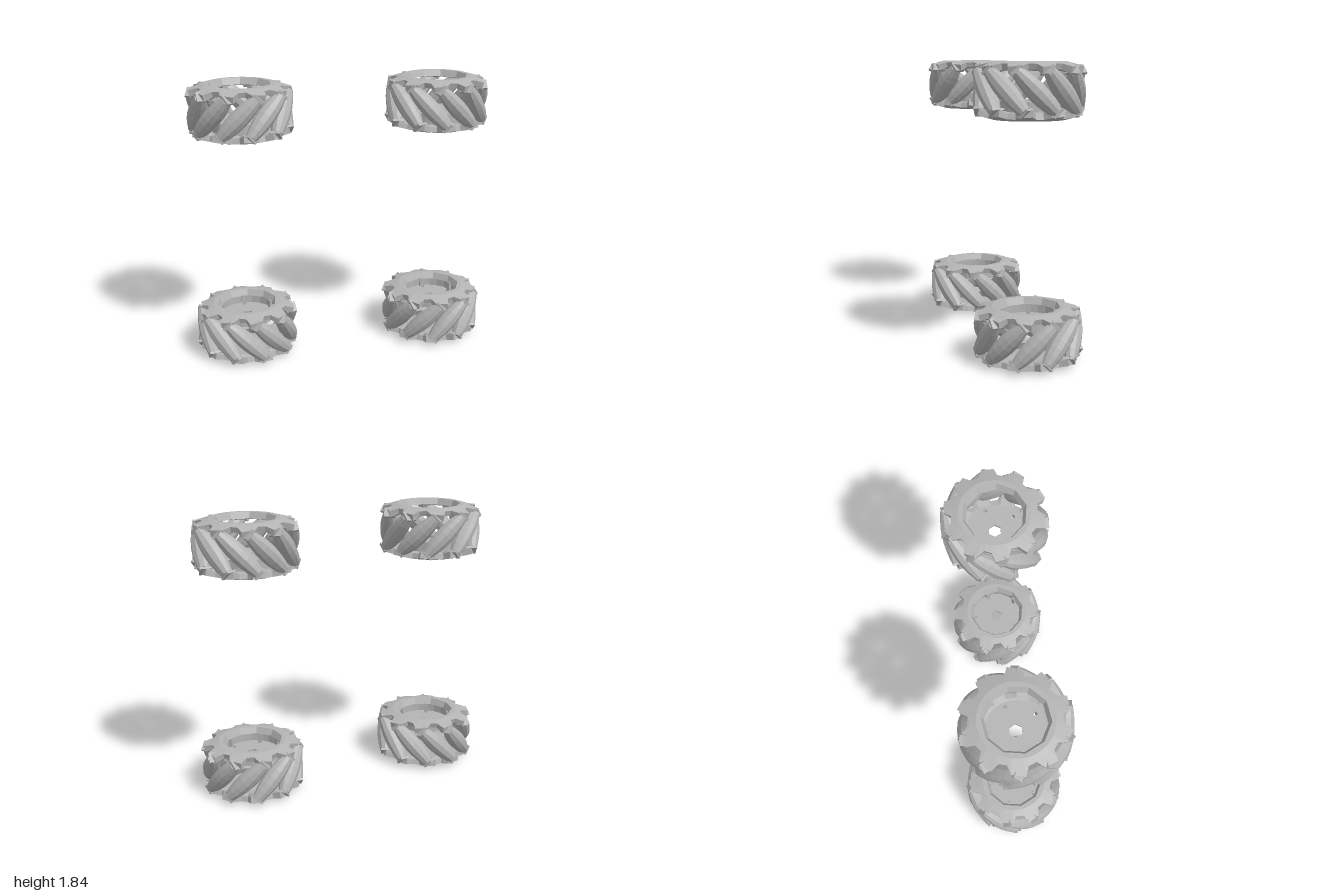
import * as THREE from 'three';

const grey = new THREE.MeshStandardMaterial({ color: 0xb4b4b4, flatShading: true, side: THREE.DoubleSide });
grey.name = 'light grey';

const COUNT = 10, STEP = 36, TILT = Math.PI / 4;
const R = 0.34, AXIS = 0.28, HALF = 0.165; // wheel radius, roller axis radius, roller half length
const rad = THREE.MathUtils.degToRad;

function add(parent, name, geometry) {
  const mesh = new THREE.Mesh(geometry, grey);
  mesh.name = name;
  parent.add(mesh);
  return mesh;
}

// Barrel whose bulge follows the round outline of the wheel
function rollerGeometry() {
  const points = [new THREE.Vector2(0, -HALF)];
  for (let i = -3; i <= 3; i++) {
    const t = (i / 3) * HALF;
    points.push(new THREE.Vector2(R - Math.hypot(AXIS, t * Math.sin(TILT)), t));
  }
  points.push(new THREE.Vector2(0, HALF));
  return new THREE.LatheGeometry(points, 10);
}

// Toothed ring at the top end of a wheel, swept as closed cross-sections
function endPlateGeometry(hand) {
  // angle from tooth centre, outer radius, top height, bottom height
  const tooth = [[-14, 0.265, 0.16, 0.125], [-8, 0.312, 0.148, 0.1], [7, 0.326, 0.142, 0.1], [12, 0.272, 0.158, 0.125]];
  const stations = [];
  for (let k = 0; k < COUNT; k++)
    for (const [deg, r, top, low] of tooth) stations.push([hand * (k * STEP + 24 + deg), r, top, low]);
  stations.sort((a, b) => a[0] - b[0]);
  const pos = [], index = [], rows = 6, n = stations.length;
  for (const [deg, r, top, low] of stations) {
    const a = rad(deg);
    const flat = Math.cos(rad(18)) / Math.cos(rad((((deg % STEP) + STEP) % STEP) - 18)); // ten-sided opening
    const section = [[0.202 * flat, 0.172], [0.226, 0.172], [r, top], [r - 0.01, low], [0.22, 0.12], [0.182 * flat, 0.13]];
    for (const [sr, y] of section) pos.push(sr * Math.cos(a), y, sr * Math.sin(a));
  }
  for (let i = 0; i < n; i++) {
    for (let j = 0; j < rows; j++) {
      const i2 = (i + 1) % n, j2 = (j + 1) % rows;
      const a = i * rows + j, b = i2 * rows + j, c = i2 * rows + j2, d = i * rows + j2;
      index.push(a, b, d, b, c, d);
    }
  }
  const g = new THREE.BufferGeometry();
  g.setAttribute('position', new THREE.Float32BufferAttribute(pos, 3));
  g.setIndex(index);
  g.computeVertexNormals();
  return g;
}

function polygon(Type, sides, r, x = 0, y = 0, turn = 0) {
  const p = new Type();
  for (let i = 0; i < sides; i++) {
    const a = turn + (i / sides) * Math.PI * 2;
    p[i ? 'lineTo' : 'moveTo'](x + r * Math.cos(a), y + r * Math.sin(a));
  }
  p.closePath();
  return p;
}

// Hub disc with a hexagonal bore and five slots
function hubGeometry() {
  const shape = polygon(THREE.Shape, 20, 0.187);
  shape.holes.push(polygon(THREE.Path, 6, 0.043));
  for (let i = 0; i < 5; i++) {
    const a = rad(90 + i * 72);
    shape.holes.push(polygon(THREE.Path, 4, 0.015, 0.155 * Math.cos(a), 0.155 * Math.sin(a), a + Math.PI / 4));
  }
  return new THREE.ExtrudeGeometry(shape, { depth: 0.015, bevelEnabled: false }).rotateX(-Math.PI / 2);
}

function createWheel(hand) {
  const wheel = new THREE.Group();
  const tread = new THREE.Group();
  tread.name = 'tread';
  tread.rotation.y = rad(9) * hand;
  wheel.add(tread);

  // Toothed end plates, the lower one being the upper turned over
  const plate = endPlateGeometry(hand);
  add(tread, 'upperEndPlate', plate);
  add(tread, 'lowerEndPlate', plate).rotation.x = Math.PI;

  // Slanted rollers with a bracket at each end
  const barrel = rollerGeometry();
  const bracketShape = new THREE.BoxGeometry(0.075, 0.016, 0.07);
  for (let k = 0; k < COUNT; k++) {
    const spoke = new THREE.Group();
    spoke.name = 'rollerUnit';
    spoke.rotation.y = rad(k * STEP);
    const unit = new THREE.Group();
    unit.name = 'tiltedRoller';
    unit.position.x = AXIS;
    unit.rotation.x = hand * TILT;
    add(unit, 'roller', barrel);
    for (const s of [-1, 1]) add(unit, 'rollerBracket', bracketShape).position.set(-0.008, s * (HALF + 0.009), 0);
    spoke.add(unit);
    tread.add(spoke);
  }

  // Recessed hub with its wall and five ribs
  add(wheel, 'hubDisc', hubGeometry()).position.y = 0.06;
  add(wheel, 'hubWall', new THREE.CylinderGeometry(0.187, 0.187, 0.075, 20, 1, true)).position.y = 0.098;
  const rib = new THREE.BoxGeometry(0.02, 0.07, 0.03);
  for (let i = 0; i < 5; i++) {
    const a = rad(90 + i * 72);
    const mesh = add(wheel, 'hubRib', rib);
    mesh.position.set(0.177 * Math.cos(a), 0.1, -0.177 * Math.sin(a));
    mesh.rotation.y = a;
  }
  return wheel;
}

export function createModel() {
  const model = new THREE.Group();
  model.name = 'wheelSet';
  for (const side of [-1, 1]) {
    for (const upper of [false, true]) {
      const wheel = createWheel(upper ? side : -side);
      wheel.name = (upper ? 'upper' : 'lower') + (side > 0 ? 'Left' : 'Right') + 'Wheel';
      wheel.position.set(side * 0.66, upper ? 1.675 : 0.175, 0);
      if (upper) wheel.rotation.z = Math.PI; // hub faces the lower wheel
      model.add(wheel);
    }
  }
  return model;
}
